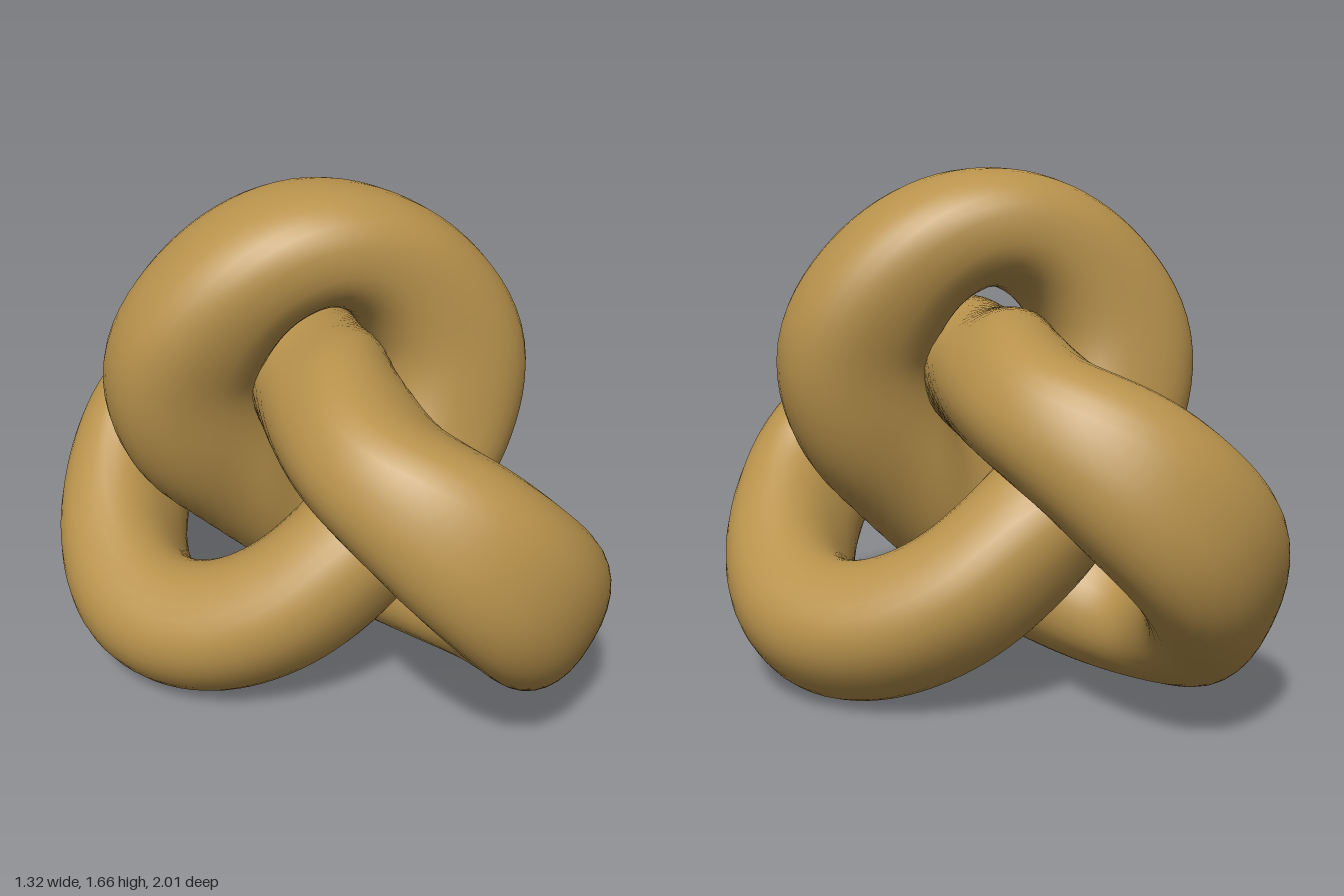
import * as THREE from 'three';

const V = (x, y, z) => new THREE.Vector3(x, y, z);
const SEGMENTS = 240, SIDES = 32;

// Half of the knot, from the top of the upright loop through the back loop
// to the strand in the middle: x, y, z, half thickness, half width.
const half = [
  [0, 1.49, 0, 0.18, 0.24],
  [0.17, 1.43, 0.09, 0.19, 0.23],
  [0.29, 1.29, 0.17, 0.215, 0.215],
  [0.345, 1.11, 0.235, 0.24, 0.2],
  [0.29, 0.9, 0.25, 0.235, 0.2],
  [0.14, 0.72, 0.245, 0.215, 0.21],
  [-0.05, 0.53, 0.2, 0.2, 0.22],
  [-0.24, 0.35, 0.08, 0.2, 0.225],
  [-0.39, 0.24, -0.13, 0.205, 0.225],
  [-0.44, 0.235, -0.37, 0.205, 0.23],
  [-0.32, 0.36, -0.65, 0.19, 0.245],
  [-0.04, 0.63, -0.84, 0.172, 0.25],
  [0.14, 0.84, -0.72, 0.2, 0.235],
  [0.195, 0.96, -0.47, 0.24, 0.2],
  [0.12, 1.03, -0.22, 0.215, 0.21],
  [0, 1.055, 0, 0.185, 0.22],
];

// The other half is the same path turned half way round the upright axis.
const otherHalf = half.slice(1, -1).reverse().map(([x, y, z, t, w]) => [-x, y, -z, t, w]);
const stations = [...half, ...otherHalf];

const wrap = (i) => (i + SEGMENTS) % SEGMENTS;

// Average each vector with its neighbours around the closed path.
function smooth(list, passes) {
  for (let k = 0; k < passes; k++) {
    list = list.map((p, i) => p.clone().multiplyScalar(2)
      .add(list[wrap(i - 1)]).add(list[wrap(i + 1)]).multiplyScalar(0.25));
  }
  return list;
}

function knotGeometry() {
  const curve = new THREE.CatmullRomCurve3(stations.map(([x, y, z]) => V(x, y, z)), true, 'centripetal');
  const sizeCurve = new THREE.CatmullRomCurve3(stations.map(([, , , t, w]) => V(t, w, 0)), true, 'catmullrom');
  curve.arcLengthDivisions = 1000;
  const params = Array.from({ length: SEGMENTS }, (_, i) => curve.getUtoTmapping(i / SEGMENTS));
  const centres = smooth(params.map((t) => curve.getPoint(t)), 8);
  const sizes = params.map((t) => sizeCurve.getPoint(t));

  // The thickness of the section is measured towards the inside of each bend.
  const inward = smooth(centres.map((p, i) => centres[wrap(i - 9)].clone()
    .add(centres[wrap(i + 9)]).addScaledVector(p, -2).normalize()), 30);

  const positions = [], indices = [];
  const rounded = (v) => Math.sign(v) * Math.abs(v) ** 0.87;
  centres.forEach((p, i) => {
    const t = centres[wrap(i + 1)].clone().sub(centres[wrap(i - 1)]).normalize();
    const n = inward[i].clone().addScaledVector(t, -inward[i].dot(t)).normalize();
    const b = t.clone().cross(n);
    for (let j = 0; j < SIDES; j++) {
      const a = (j / SIDES) * Math.PI * 2;
      const q = p.clone()
        .addScaledVector(n, sizes[i].x * rounded(Math.cos(a)))
        .addScaledVector(b, sizes[i].y * rounded(Math.sin(a)));
      positions.push(q.x, q.y, q.z);
      const a0 = i * SIDES + j, a1 = i * SIDES + (j + 1) % SIDES;
      const b0 = wrap(i + 1) * SIDES + j, b1 = wrap(i + 1) * SIDES + (j + 1) % SIDES;
      indices.push(a0, a1, b1, a0, b1, b0);
    }
  });

  const geometry = new THREE.BufferGeometry();
  geometry.setAttribute('position', new THREE.Float32BufferAttribute(positions, 3));
  geometry.setIndex(indices);
  geometry.computeVertexNormals();
  // Rest the knot on the ground.
  geometry.computeBoundingBox();
  geometry.translate(0, -geometry.boundingBox.min.y, 0);
  return geometry;
}

export function createModel() {
  const ochre = new THREE.MeshStandardMaterial({ color: 0xb8924c });
  ochre.name = 'ochre';
  const knot = new THREE.Mesh(knotGeometry(), ochre);
  knot.name = 'knot';
  const group = new THREE.Group();
  group.name = 'knotSculpture';
  group.add(knot);
  return group;
}
